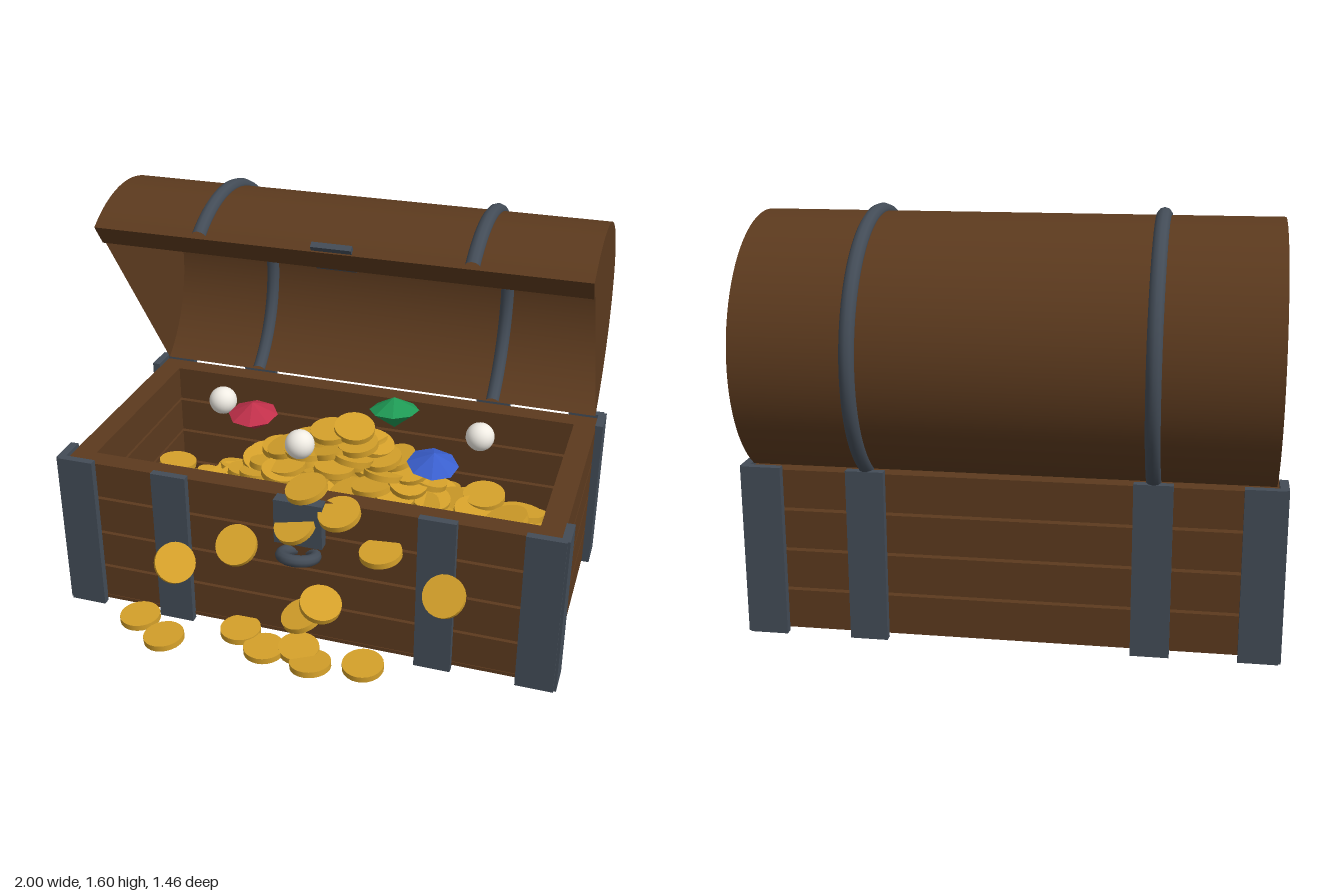
import * as THREE from 'three';

const mat = (color, extra = {}) => new THREE.MeshStandardMaterial({ color, ...extra });

export function createModel() {
  const chest = new THREE.Group();
  chest.name = 'treasureChest';
  const wood = mat(0x5c3a1e);
  const shellWood = mat(0x5c3a1e, { side: THREE.DoubleSide });
  const metal = mat(0x434c57);
  const gold = mat(0xd4a02a);
  const pearlMat = mat(0xf0ece4);

  const add = (parent, name, geometry, material, x = 0, y = 0, z = 0) => {
    const mesh = new THREE.Mesh(geometry, material);
    mesh.name = name;
    mesh.position.set(x, y, z);
    parent.add(mesh);
    return mesh;
  };
  // Box given by its lower and upper corners
  const block = (parent, name, material, [x0, y0, z0], [x1, y1, z1]) =>
    add(parent, name, new THREE.BoxGeometry(x1 - x0, y1 - y0, z1 - z0), material,
      (x0 + x1) / 2, (y0 + y1) / 2, (z0 + z1) / 2);

  // Slatted box with open gaps between the planks
  const box = new THREE.Group();
  box.name = 'box';
  chest.add(box);
  block(box, 'floor', wood, [-0.97, 0.015, -0.5], [0.97, 0.03, 0.47]);
  for (let i = 0; i < 4; i++) {
    const y0 = 0.02 + i * 0.159, y1 = y0 + 0.147;
    block(box, 'frontPlank', wood, [-0.97, y0, 0.385], [0.97, y1, 0.467]);
    block(box, 'backPlank', wood, [-0.97, y0, -0.5], [0.97, y1, -0.418]);
    for (const s of [-1, 1]) {
      const side = block(box, 'sidePlank', wood, [0.88, y0, -0.418], [0.97, y1, 0.385]);
      side.position.x *= s;
    }
  }

  // Metal corners and straps
  for (const s of [-1, 1]) {
    const mirrored = (name, a, b) => {
      block(box, name, metal, a, b).position.x *= s;
    };
    mirrored('frontCornerPlate', [0.845, 0, 0.467], [0.99, 0.66, 0.497]);
    mirrored('backCornerPlate', [0.845, 0, -0.532], [0.99, 0.66, -0.5]);
    mirrored('frontCornerSide', [0.968, 0, 0.365], [1, 0.66, 0.488]);
    mirrored('backCornerSide', [0.968, 0, -0.523], [1, 0.66, -0.4]);
    mirrored('frontStrap', [0.455, 0, 0.467], [0.597, 0.66, 0.497]);
    mirrored('backStrap', [0.455, 0, -0.532], [0.597, 0.66, -0.5]);
  }

  // Lock plate with its ring
  block(box, 'lockPlate', metal, [-0.095, 0.46, 0.46], [0.095, 0.645, 0.51]);
  const ring = add(box, 'lockRing', new THREE.TorusGeometry(0.065, 0.023, 10, 28), metal, 0, 0.415, 0.505);
  ring.rotation.x = Math.PI / 2 - 0.25;

  // Open lid: hollow half barrel turned back about its hinge
  const lid = new THREE.Group();
  lid.name = 'lid';
  lid.position.set(0, 1.07, -0.2);
  lid.rotation.x = -0.96;
  chest.add(lid);
  const dome = new THREE.CylinderGeometry(0.5, 0.5, 1.914, 40, 1, false, 0, Math.PI);
  add(lid, 'lidShell', dome.rotateZ(Math.PI / 2), shellWood);
  block(lid, 'lidLip', wood, [-0.957, -0.014, 0.4], [0.957, 0.012, 0.5]);
  block(lid, 'lidClasp', metal, [-0.078, -0.008, 0.385], [0.078, 0.016, 0.522]);
  for (const x of [-0.525, 0.525]) {
    const band = new THREE.TorusGeometry(0.5, 0.028, 10, 48, Math.PI);
    add(lid, 'lidBand', band.rotateY(Math.PI / 2), metal, x);
  }

  // Coins
  const coinGeo = new THREE.CylinderGeometry(0.08, 0.08, 0.024, 24);
  const coins = new THREE.Group();
  coins.name = 'coins';
  chest.add(coins);
  const coin = (name, x, y, z, rx = 0, rz = 0) =>
    add(coins, name, coinGeo, gold, x, y, z).rotation.set(rx, 0, rz);

  let seed = 7;
  const rand = () => (seed = (seed * 16807) % 2147483647) / 2147483647;
  const jitter = (a) => (rand() * 2 - 1) * a;

  // Main mound, spiralling out from its peak
  const count = 130;
  for (let i = 0; i < count; i++) {
    const t = Math.sqrt((i + 0.5) / count), a = i * 2.39996;
    const x = 0.04 + Math.cos(a) * t * 0.66, z = 0.05 + Math.sin(a) * t * 0.26;
    const y = 0.36 + 0.38 * Math.exp(-t * t * 2.6) - rand() * 0.05;
    coin('moundCoin', x, y, z, jitter(0.3), jitter(0.3));
  }
  // Bottom layer
  for (let i = 0; i < 26; i++) {
    coin('layerCoin', -0.78 + 1.56 * i / 25, 0.335 + jitter(0.006), 0.02 + jitter(0.28), jitter(0.08), jitter(0.08));
  }
  // Small heap by the left front corner
  for (let i = 0; i < 18; i++) {
    coin('heapCoin', 0.67 + jitter(0.11), 0.4 + i * 0.011, 0.24 + jitter(0.09), jitter(0.3), jitter(0.3));
  }
  // Spilling coins: x, y, z, tilt forward, tilt sideways
  for (const c of [
    [0.02, 0.685, 0.46, 0.2, 0.2], [0.16, 0.625, 0.5, 0.3, 0.12], [-0.01, 0.55, 0.51, 0.5, 0.2],
    [0.325, 0.5, 0.52, 0.1, 0.08], [-0.235, 0.435, 0.54, 0.75, 0], [0.575, 0.385, 0.555, 0.85, 0.1],
    [-0.485, 0.32, 0.565, 0.75, -0.55], [0.11, 0.262, 0.575, 0.3, -0.25], [0.04, 0.205, 0.59, 0.25, 0.25],
  ]) coin('spillingCoin', ...c);
  // Coins on the ground
  for (const [x, z] of [[-0.65, 0.57], [-0.51, 0.655], [-0.235, 0.535], [-0.11, 0.61], [0.09, 0.645],
    [0.02, 0.575], [0.285, 0.6]]) {
    coin('groundCoin', x, 0.028 + rand() * 0.01, z, jitter(0.08), jitter(0.08));
  }

  // Gems: low crown over a deeper point
  const gem = (name, color, x, y, z, rx, rz) => {
    const points = [[0, -0.075], [0.1, 0], [0, 0.053]].map((p) => new THREE.Vector2(...p));
    const mesh = add(chest, name, new THREE.LatheGeometry(points, 8), mat(color, { flatShading: true }), x, y, z);
    mesh.rotation.set(rx, 0.2, rz);
  };
  gem('redGem', 0xc0304a, -0.345, 0.735, 0.05, 0.1, 0);
  gem('greenGem', 0x1f9a55, 0.205, 0.772, -0.085, -0.1, 0.05);
  gem('blueGem', 0x3a5fcd, 0.425, 0.695, 0.16, 0.15, -0.1);

  // Pearls
  for (const p of [[-0.555, 0.67, -0.14], [-0.085, 0.733, 0.23], [0.54, 0.66, -0.17]]) {
    add(chest, 'pearl', new THREE.SphereGeometry(0.058, 24, 16), pearlMat, ...p);
  }
  return chest;
}
